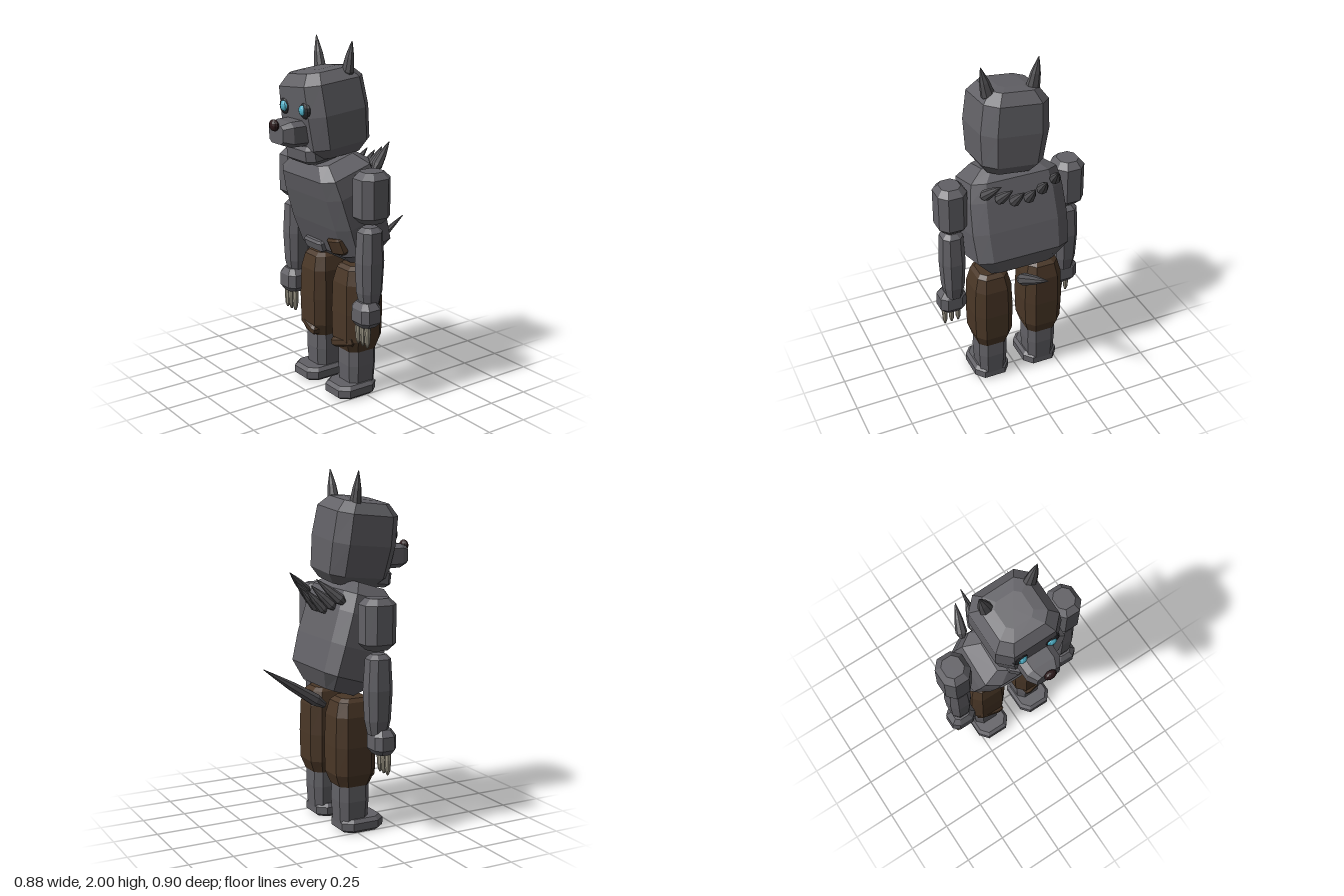
import * as THREE from 'three';

const mat = (name, color, flatShading = true) => {
  const m = new THREE.MeshStandardMaterial({ color, flatShading });
  m.name = name;
  return m;
};

// Chamfered block: rings of [y, halfWidth, halfDepth, offsetX, offsetZ] with eight corners each
function loft(rings, k = 0.6) {
  const pos = [], idx = [];
  for (const [y, w, d, ox = 0, oz = 0] of rings) {
    const corners = [[1, -k], [1, k], [k, 1], [-k, 1], [-1, k], [-1, -k], [-k, -1], [k, -1]];
    for (const [a, b] of corners) pos.push(ox + a * w, y, oz + b * d);
  }
  const n = rings.length;
  for (const r of [rings[0], rings[n - 1]]) pos.push(r[3] || 0, r[0], r[4] || 0);
  for (let j = 0; j < 8; j++) {
    const j2 = (j + 1) % 8;
    for (let i = 0; i < n - 1; i++) {
      const a = i * 8 + j, b = i * 8 + j2;
      idx.push(a, a + 8, b, b, a + 8, b + 8);
    }
    idx.push(n * 8, j, j2, n * 8 + 1, (n - 1) * 8 + j2, (n - 1) * 8 + j);
  }
  const g = new THREE.BufferGeometry();
  g.setAttribute('position', new THREE.Float32BufferAttribute(pos, 3));
  g.setIndex(idx);
  const flat = g.toNonIndexed();
  flat.computeVertexNormals();
  return flat;
}

// Block with bevelled ends, centred on its origin
const block = (w, h, d, bevel = 0.02, k = 0.7) => loft([
  [-h, w - bevel, d - bevel], [-h + bevel, w, d], [h - bevel, w, d], [h, w - bevel, d - bevel]], k);

export function createModel() {
  const model = new THREE.Group();
  model.name = 'hornedBeast';
  const hide = mat('grey hide', 0x626166);
  const horn = mat('dark grey horn', 0x555457);
  const cloth = mat('brown cloth', 0x4a3727);
  const claw = mat('bone claw', 0xa39d8c);
  const black = mat('eye socket black', 0x252528);
  const cyan = mat('glowing cyan', 0x52b4cc);
  const noseMat = mat('nose maroon', 0x2c191b);

  const add = (name, geo, material, p = [0, 0, 0], r = [0, 0, 0]) => {
    const m = new THREE.Mesh(geo, material);
    m.name = name;
    m.position.set(...p);
    m.rotation.set(...r);
    model.add(m);
    return m;
  };
  // Tapered spike pointing from base to tip
  const spike = (name, base, tip, r, material, flat = 1) => {
    const a = new THREE.Vector3(...base), dir = new THREE.Vector3(...tip).sub(a), L = dir.length();
    const g = loft([[0, r * 0.5, r * 0.5 * flat], [L * 0.16, r, r * flat],
      [L * 0.55, r * 0.72, r * 0.72 * flat], [L * 0.85, r * 0.3, r * 0.3 * flat], [L, 0.002, 0.002]], 0.45);
    const m = add(name, g, material, base);
    m.quaternion.setFromUnitVectors(new THREE.Vector3(0, 1, 0), dir.normalize());
  };
  const ball = (name, p, s, material) => {
    add(name, new THREE.SphereGeometry(1, 10, 8), material, p).scale.set(...s);
  };

  // Torso, leaning forward
  add('torso', loft([
    [-0.31, 0.19, 0.09], [-0.22, 0.275, 0.16], [-0.05, 0.285, 0.17], [0.13, 0.275, 0.17],
    [0.235, 0.255, 0.165], [0.3, 0.17, 0.115]], 0.72), hide, [0, 1.09, 0.035], [0.3, 0, 0]);

  // Head, tipped forward and to one side
  add('head', loft([
    [-0.235, 0.135, 0.14], [-0.18, 0.18, 0.185], [0, 0.2, 0.197],
    [0.165, 0.188, 0.19], [0.225, 0.14, 0.14], [0.235, 0.08, 0.08]], 0.65),
  hide, [0, 1.615, 0.105], [0.1, 0, 0.1]);
  add('jaw', block(0.13, 0.05, 0.12), hide, [0, 1.41, 0.175], [0.12, 0, 0]);
  add('muzzle', loft([[0, 0.1, 0.07], [0.12, 0.098, 0.068], [0.17, 0.068, 0.05]], 0.65),
    hide, [0, 1.52, 0.25], [Math.PI / 2, 0, 0]);
  ball('nose', [0, 1.57, 0.432], [0.037, 0.032, 0.022], noseMat);

  // Eyes
  for (const s of [-1, 1]) {
    ball('eyeSocket', [s * 0.096, 1.647, 0.298], [0.046, 0.046, 0.02], black);
    ball('eye', [s * 0.089, 1.648, 0.31], [0.029, 0.029, 0.018], cyan);
  }

  // Ears
  spike('rightEar', [-0.125, 1.8, 0.045], [-0.165, 2, 0.045], 0.037, horn, 0.75);
  spike('leftEar', [0.12, 1.81, 0.045], [0.165, 2, 0.045], 0.037, horn, 0.75);

  // Spikes across the upper back
  for (const s of [-1, 1]) {
    spike('backSpike', [s * 0.215, 1.3, -0.07], [s * 0.165, 1.43, -0.21], 0.029, horn);
    spike('backSpike', [s * 0.13, 1.26, -0.08], [s * 0.1, 1.39, -0.21], 0.029, horn);
    spike('backSpike', [s * 0.045, 1.23, -0.09], [s * 0.034, 1.36, -0.21], 0.029, horn);
  }
  spike('tail', [0, 0.69, -0.08], [0, 0.93, -0.45], 0.034, horn);

  // Belt plate and cloth patch at the waist
  add('beltPlate', block(0.085, 0.034, 0.025, 0.012), hide, [-0.05, 0.852, 0.135], [0.3, 0, 0]);
  add('waistPatch', block(0.065, 0.048, 0.025, 0.012, 0.6), cloth, [0.165, 0.892, 0.14], [0.3, 0, 0.2]);

  for (const s of [-1, 1]) {
    // Arms
    add('shoulder', loft([[-0.14, 0.055, 0.06], [-0.105, 0.084, 0.094], [0.105, 0.084, 0.094],
      [0.14, 0.055, 0.06]], 0.5), hide, [s * 0.355, 1.2, 0.055]);
    add('forearm', loft([[-0.23, 0.045, 0.05], [-0.15, 0.06, 0.066], [0.02, 0.068, 0.074],
      [0.19, 0.06, 0.064], [0.215, 0.035, 0.04]], 0.5), hide, [s * 0.353, 0.82, 0.063]);
    add('hand', loft([[-0.07, 0.055, 0.045], [-0.04, 0.08, 0.066], [0.035, 0.078, 0.066],
      [0.07, 0.05, 0.045]], 0.55), hide, [s * 0.357, 0.55, 0.086]);
    for (const f of [-1, 0, 1]) {
      add('finger', loft([[-0.075, 0.005, 0.005], [-0.05, 0.012, 0.014], [0.01, 0.016, 0.018],
        [0.065, 0.014, 0.016]], 0.45), claw, [s * 0.354 + f * 0.041, 0.437, 0.105]);
    }

    // Legs
    add('trouserLeg', loft([[0.27, 0.09, 0.095], [0.34, 0.112, 0.122], [0.5, 0.117, 0.125],
      [0.67, 0.11, 0.12], [0.75, 0.09, 0.1], [0.77, 0.07, 0.075]], 0.6), cloth, [s * 0.157, 0, 0]);
    add('trouserCuff', block(0.085, 0.028, 0.035, 0.014), cloth,
      [s * 0.165, 0.322, 0.092], [0, s * 0.15, s * 0.27]);
    add('shin', loft([[0.05, 0.08, 0.085], [0.18, 0.088, 0.093], [0.3, 0.085, 0.09]], 0.58),
      hide, [s * 0.157, 0, 0]);
    add('foot', loft([[0, 0.09, 0.11], [0.016, 0.107, 0.13], [0.058, 0.107, 0.13],
      [0.078, 0.09, 0.112]], 0.6), hide, [s * 0.158, 0, 0.045]);
  }
  return model;
}
